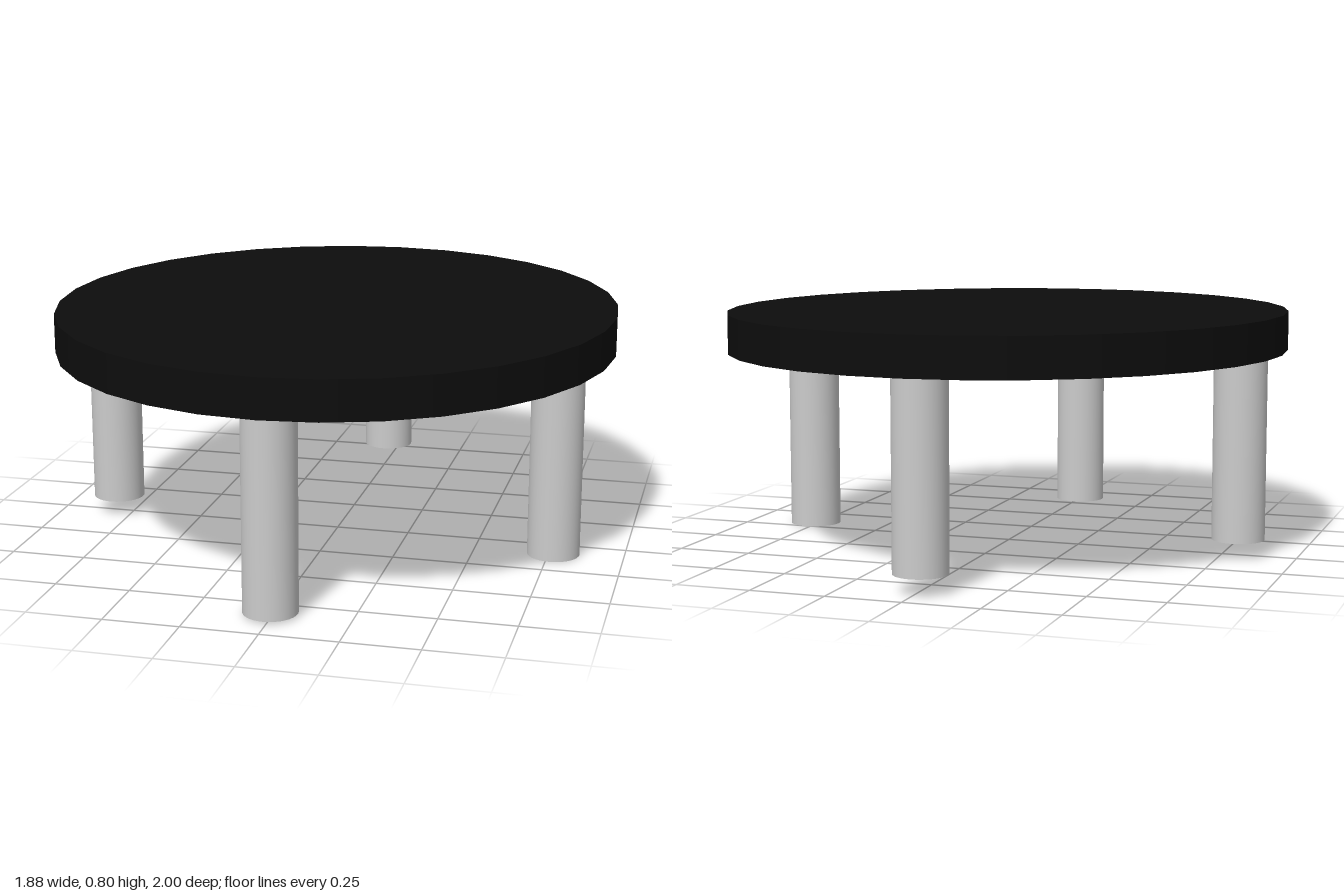
import * as THREE from 'three';

export function createModel() {
  const model = new THREE.Group();
  model.name = 'roundTable';
  const black = new THREE.MeshStandardMaterial({ color: 0x0d0d0d });
  const grey = new THREE.MeshStandardMaterial({ color: 0xcccccc });

  // Slightly oval table top
  const top = new THREE.Mesh(new THREE.CylinderGeometry(1, 1, 0.13, 32), black);
  top.name = 'tableTop';
  top.scale.x = 0.94;
  top.position.y = 0.735;
  model.add(top);

  // Four equal legs, set at slightly uneven heights and sunk into the top
  const legLength = 0.68;
  const legGeometry = new THREE.CylinderGeometry(0.088, 0.088, legLength, 32);
  const legs = [
    ['frontLeg', -0.01, 0.007, 0.83],
    ['backLeg', -0.006, 0.058, -0.855],
    ['leftLeg', 0.765, 0, 0.083],
    ['rightLeg', -0.805, 0.055, -0.008],
  ];
  for (const [name, x, bottom, z] of legs) {
    const leg = new THREE.Mesh(legGeometry, grey);
    leg.name = name;
    leg.position.set(x, bottom + legLength / 2, z);
    model.add(leg);
  }
  return model;
}
